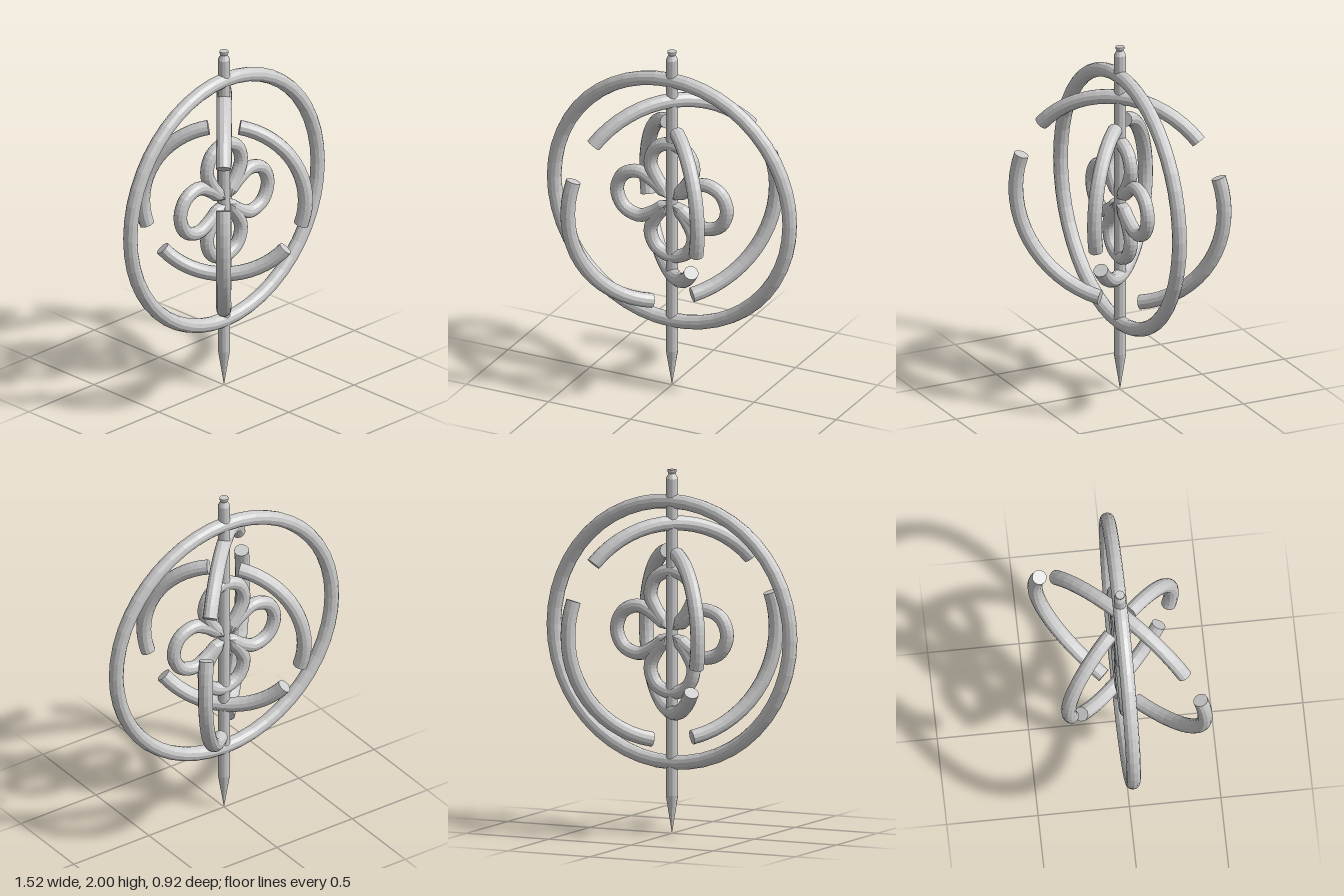
import * as THREE from 'three';

const CENTER = 1.108, SIDES = 12;
const material = new THREE.MeshStandardMaterial({ color: 0xcccccc, flatShading: true });

function addMesh(parent, name, geometry) {
  const mesh = new THREE.Mesh(geometry, material);
  mesh.name = name;
  parent.add(mesh);
  return mesh;
}

// Curved bar with closed ends, centred on angle `middle` (radians)
function arcBar(name, radius, tube, middle, span) {
  const bar = new THREE.Group();
  bar.name = name;
  addMesh(bar, 'bar', new THREE.TorusGeometry(radius, tube, SIDES, 16, span));
  for (const [angle, turn] of [[0, Math.PI / 2], [span, -Math.PI / 2]]) {
    const cap = new THREE.CircleGeometry(tube, SIDES);
    cap.rotateX(turn).translate(radius, 0, 0).rotateZ(angle);
    addMesh(bar, 'endCap', cap);
  }
  bar.rotation.z = middle - span / 2;
  return bar;
}

// Broken ring made of three arcs in an upright plane turned about y
function brokenRing(name, radius, tube, firstAngle, turn) {
  const ring = new THREE.Group();
  ring.name = name;
  for (let i = 0; i < 3; i++) {
    const middle = firstAngle + i * Math.PI * 2 / 3;
    ring.add(arcBar('arc' + (i + 1), radius, tube, middle, THREE.MathUtils.degToRad(98)));
  }
  ring.position.y = CENTER;
  ring.rotation.y = turn;
  return ring;
}

export function createModel() {
  const model = new THREE.Group();
  model.name = 'ringPendant';

  // Central rod with pointed foot and small flared head
  const profile = [[0, 0], [0.034, 0.21], [0.034, 1.95], [0.019, 1.978], [0.025, 1.99], [0.025, 2], [0, 2]]
    .map(([r, y]) => new THREE.Vector2(r, y));
  addMesh(model, 'rod', new THREE.LatheGeometry(profile, SIDES));

  // Full outer ring
  addMesh(model, 'outerRing', new THREE.TorusGeometry(0.718, 0.04, SIDES, 48)).position.y = CENTER;

  // Two broken rings on crossing diagonal planes
  model.add(brokenRing('middleRing', 0.597, 0.041, Math.PI / 2, Math.PI / 4));
  model.add(brokenRing('innerRing', 0.443, 0.041, -Math.PI / 2, -Math.PI / 4));

  // Four-petal knot as one closed tube
  const petal = [[0.034, -0.034], [0.11, -0.092], [0.2, -0.131], [0.295, -0.096], [0.335, 0],
    [0.295, 0.096], [0.2, 0.131], [0.11, 0.092]];
  const path = [];
  for (let i = 0; i < 4; i++) {
    for (const [x, y] of petal) {
      path.push(new THREE.Vector3(x, y, 0).applyAxisAngle(new THREE.Vector3(0, 0, 1), i * Math.PI / 2));
    }
  }
  const curve = new THREE.CatmullRomCurve3(path, true);
  addMesh(model, 'petalKnot', new THREE.TubeGeometry(curve, 128, 0.038, SIDES, true)).position.y = CENTER;

  return model;
}
